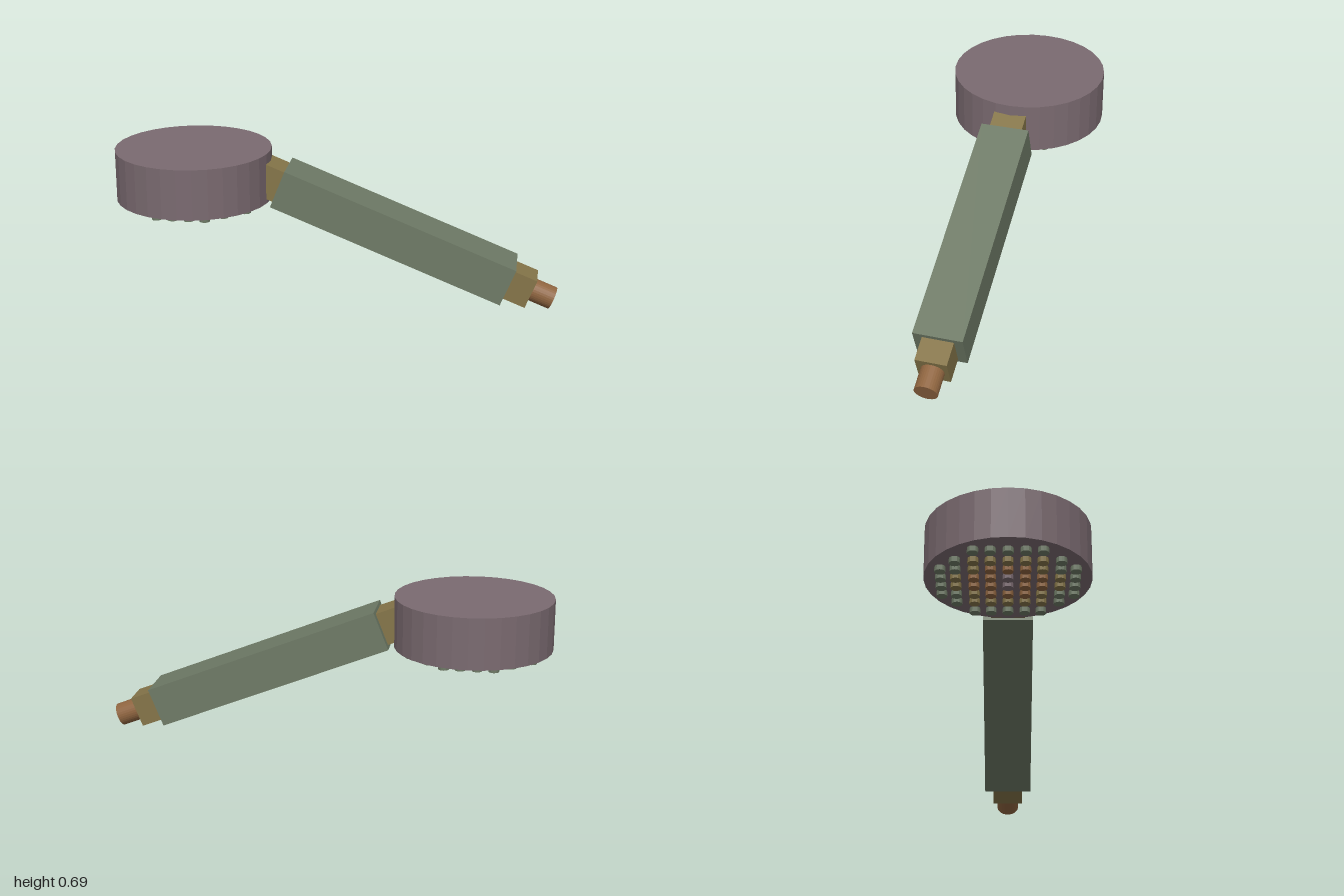
import * as THREE from 'three';

const paint = (color) => new THREE.MeshStandardMaterial({ color, flatShading: true });
const MAUVE = paint(0x7a6a70), GREEN = paint(0x6e7a66), GOLD = paint(0x857549), COPPER = paint(0x8f6540);

function add(parent, name, geometry, material, x, y, z) {
  const mesh = new THREE.Mesh(geometry, material);
  mesh.name = name;
  mesh.position.set(x, y, z);
  parent.add(mesh);
  return mesh;
}

export function createModel() {
  const model = new THREE.Group();
  model.name = 'handShower';

  // Round spray head
  const head = new THREE.Group();
  head.name = 'sprayHead';
  head.position.x = -0.65;
  model.add(head);
  add(head, 'headShell', new THREE.CylinderGeometry(0.352, 0.352, 0.228, 32), MAUVE, 0, 0.576, 0);

  // Nozzles under the head, coloured by distance from the middle
  const nozzle = new THREE.CylinderGeometry(0.023, 0.023, 0.04, 12);
  const columns = [0.036, 0.107, 0.177, 0.262].flatMap((x) => [-x, x]);
  const rows = [0, ...[0.072, 0.142, 0.217, 0.279].flatMap((z) => [-z, z])];
  for (const x of columns) {
    for (const z of rows) {
      const r = Math.hypot(x, z);
      if (r > 0.315) continue;
      const material = r < 0.06 ? MAUVE : r < 0.15 ? COPPER : r < 0.235 ? GOLD : GREEN;
      add(head, 'nozzle', nozzle, material, x, 0.459, z);
    }
  }

  // Sloping handle with its fittings, laid out along its own x axis
  const handle = new THREE.Group();
  handle.name = 'handle';
  handle.position.set(0.265, 0.335, 0);
  handle.rotation.z = -Math.atan(0.4);
  model.add(handle);
  add(handle, 'grip', new THREE.BoxGeometry(1.112, 0.18, 0.22), GREEN, 0, 0, 0);
  add(handle, 'neck', new THREE.BoxGeometry(0.12, 0.15, 0.15), GOLD, -0.6, 0, 0);
  add(handle, 'endCollar', new THREE.BoxGeometry(0.12, 0.14, 0.14), GOLD, 0.606, 0, 0);
  const inlet = add(handle, 'hoseInlet', new THREE.CylinderGeometry(0.052, 0.052, 0.115, 32), COPPER, 0.7125, 0, 0);
  inlet.rotation.z = Math.PI / 2;

  return model;
}
